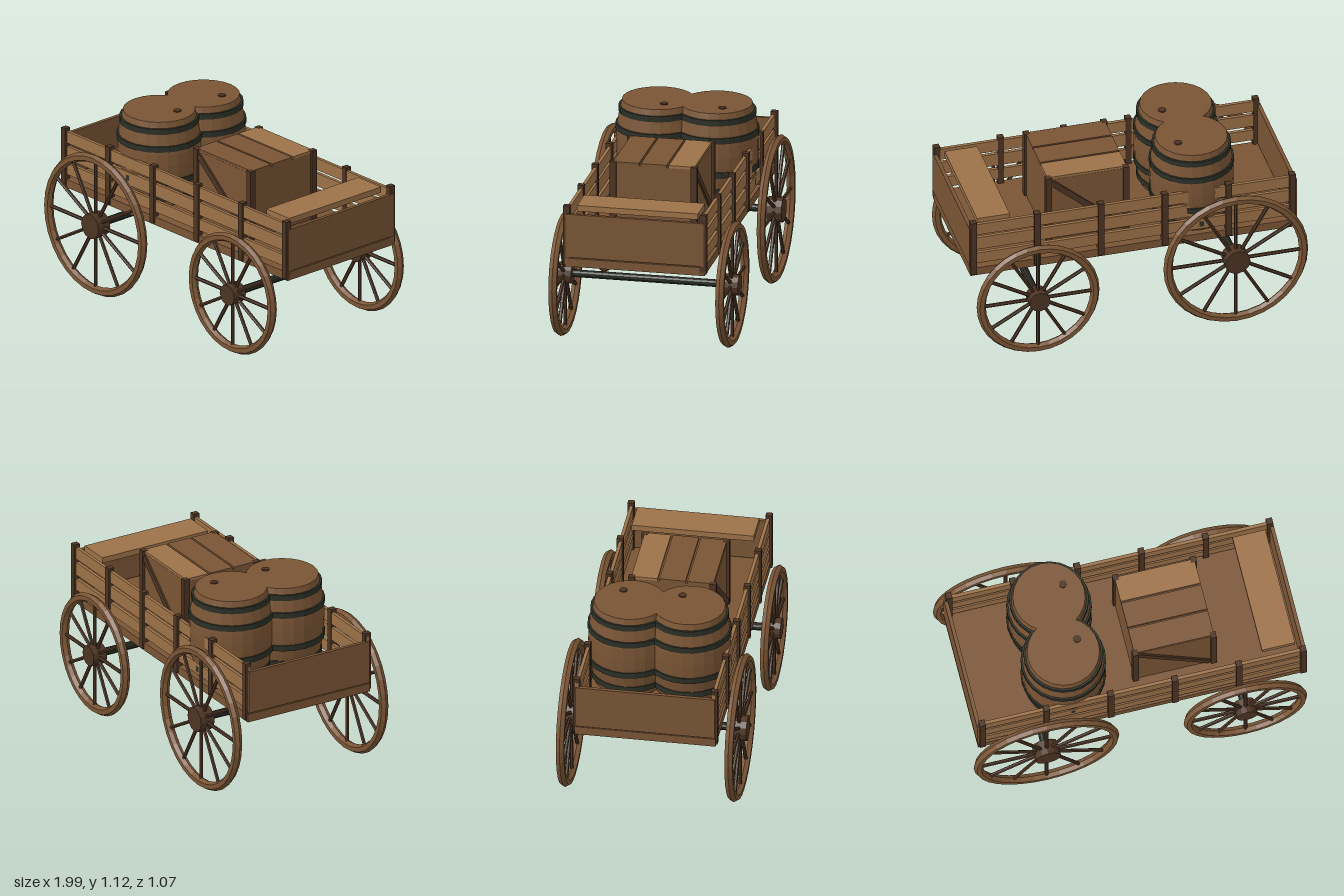
import * as THREE from 'three';

const material = (name, color) => {
  const m = new THREE.MeshStandardMaterial({ color, flatShading: true });
  m.name = name;
  return m;
};

export function createModel() {
  const brown = material('brown wood', 0x7a5535);
  const light = material('light wood', 0x9c7148);
  const dark = material('dark wood', 0x4c3423);
  const iron = material('dark iron', 0x2b3026);
  const wagon = new THREE.Group();
  wagon.name = 'wagon';

  const add = (parent, name, geometry, mat, x = 0, y = 0, z = 0) => {
    const mesh = new THREE.Mesh(geometry, mat);
    mesh.name = name;
    mesh.position.set(x, y, z);
    parent.add(mesh);
    return mesh;
  };
  const box = (parent, name, mat, size, pos) =>
    add(parent, name, new THREE.BoxGeometry(...size), mat, ...pos);
  const group = (name, x, y, z) => {
    const g = new THREE.Group();
    g.name = name;
    g.position.set(x, y, z);
    wagon.add(g);
    return g;
  };

  // Bed: floor, end panels and seat
  box(wagon, 'floor', brown, [1.94, 0.05, 0.82], [0.015, 0.565, 0]);
  box(wagon, 'rearPanel', brown, [0.022, 0.26, 0.81], [-0.947, 0.727, 0]);
  box(wagon, 'frontPanel', brown, [0.022, 0.26, 0.81], [0.977, 0.727, 0]);
  box(wagon, 'seat', light, [0.195, 0.035, 0.71], [0.835, 0.878, -0.005]);

  // Slatted sides with posts
  for (const side of [-1, 1]) {
    for (const [bottom, top] of [[0.62, 0.69], [0.715, 0.795], [0.815, 0.887]]) {
      box(wagon, 'sideBoard', light, [1.935, top - bottom, 0.02],
        [0.017, (bottom + top) / 2, side * 0.397]);
    }
    for (let i = 0; i < 6; i++) {
      box(wagon, 'sidePost', dark, [0.036, 0.355, 0.038], [-0.928 + i * 0.379, 0.728, side * 0.401]);
    }
  }

  // Spoked wheels and axles
  const addWheel = (name, x, radius, z, hubRadius) => {
    const wheel = group(name, x, radius + 0.005, z);
    const tube = 0.027;
    add(wheel, 'rim', new THREE.TorusGeometry(radius - tube, tube, 6, 32), brown);
    add(wheel, 'hub', new THREE.CylinderGeometry(hubRadius, hubRadius, 0.09, 12).rotateX(Math.PI / 2), dark);
    const length = radius - 0.04;
    for (let i = 0; i < 12; i++) {
      const spoke = new THREE.CylinderGeometry(0.011, 0.011, length, 6)
        .translate(0, length / 2, 0).rotateZ(i * Math.PI / 6);
      add(wheel, 'spoke', spoke, dark);
    }
  };
  for (const [name, x, radius, hub] of [['rear', -0.57, 0.43, 0.075], ['front', 0.605, 0.365, 0.062]]) {
    for (const side of [-1, 1]) addWheel(name + 'Wheel', x, radius, side * 0.49, hub);
    add(wagon, name + 'Axle', new THREE.CylinderGeometry(0.023, 0.023, 0.94, 10).rotateX(Math.PI / 2),
      iron, x, radius + 0.005, 0);
  }

  // Barrels with hoops and a bung in the lid
  const barrelRadius = (y) => 0.243 - 0.035 * ((y - 0.26) / 0.26) ** 2;
  for (const z of [-0.18, 0.163]) {
    const barrel = group('barrel', -0.39, 0.6, z);
    const profile = [new THREE.Vector2(0, 0)];
    for (let i = 0; i <= 8; i++) profile.push(new THREE.Vector2(barrelRadius(i * 0.065), i * 0.065));
    profile.push(new THREE.Vector2(0, 0.52));
    add(barrel, 'barrelBody', new THREE.LatheGeometry(profile, 24), brown);
    for (const y of [0.053, 0.157, 0.363, 0.467]) {
      const r = barrelRadius(y) + 0.008;
      const hoop = [[r - 0.02, -0.017], [r, -0.017], [r, 0.017], [r - 0.02, 0.017]]
        .map((p) => new THREE.Vector2(...p));
      add(barrel, 'hoop', new THREE.LatheGeometry(hoop, 24), iron, 0, y, 0);
    }
    add(barrel, 'bung', new THREE.CylinderGeometry(0.023, 0.023, 0.012, 10), dark, 0.095, 0.52, -0.055);
  }

  // Crate with corner posts, top planks and diagonal braces
  const crate = group('crate', 0.247, 0.595, -0.002);
  box(crate, 'crateBody', brown, [0.47, 0.41, 0.48], [0, 0.205, 0]);
  for (const [i, mat] of [light, brown, brown].entries()) {
    box(crate, 'lidPlank', mat, [0.472, 0.016, 0.152], [0, 0.417, (i - 1) * 0.163]);
  }
  for (const side of [-1, 1]) {
    for (const x of [-0.23, 0.23]) {
      box(crate, 'cornerPost', dark, [0.034, 0.425, 0.038], [x, 0.213, side * 0.237]);
    }
    const brace = box(crate, 'brace', dark, [0.56, 0.036, 0.016], [0, 0.205, side * 0.243]);
    brace.rotation.z = -side * 0.72;
  }

  return wagon;
}
